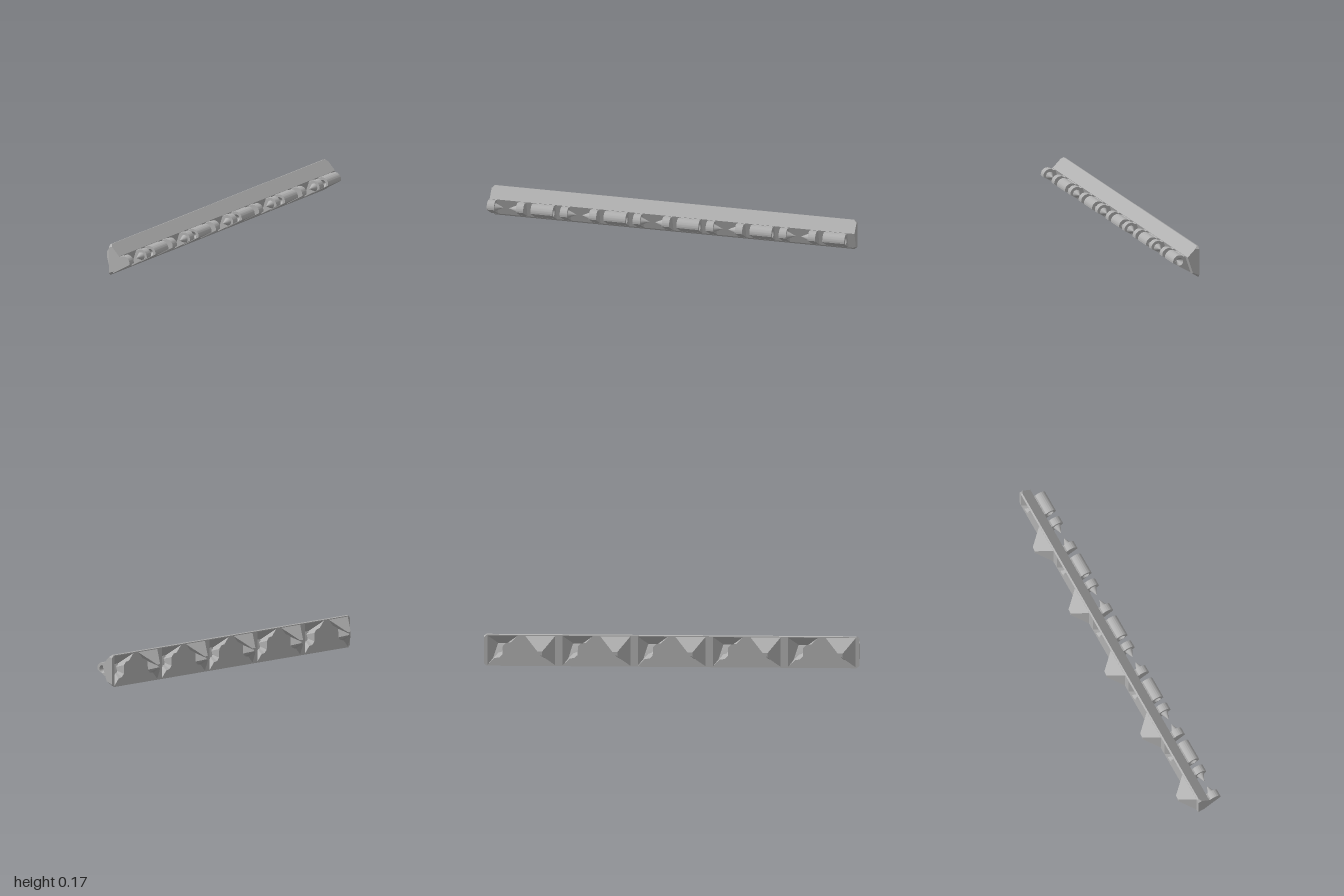
import * as THREE from 'three';
import { toCreasedNormals } from 'three/addons/utils/BufferGeometryUtils.js';

const BACK = -0.03;            // z of the flat back face
const AXIS = { z: 0.068, y: 0.086 }; // hinge axis
const MID_Y = 0.0855;

// Skin between rings of [x, y, z] points; fan caps start at each ring's first point
function loft(rings, closed, capStart, capEnd) {
  const pos = [];
  const tri = (a, b, c) => pos.push(...a, ...b, ...c);
  const n = rings[0].length;
  for (let r = 0; r < rings.length - 1; r++) {
    for (let i = 0; i < (closed ? n : n - 1); i++) {
      const j = (i + 1) % n, p = rings[r], q = rings[r + 1];
      tri(p[i], p[j], q[j]);
      tri(p[i], q[j], q[i]);
    }
  }
  const first = rings[0], last = rings[rings.length - 1];
  for (let i = 1; i < n - 1; i++) {
    if (capStart) tri(first[0], first[i + 1], first[i]);
    if (capEnd) tri(last[0], last[i], last[i + 1]);
  }
  const geo = new THREE.BufferGeometry();
  geo.setAttribute('position', new THREE.Float32BufferAttribute(pos, 3));
  geo.computeVertexNormals();
  return geo;
}

// Outline of the half-pyramid key: a right triangle whose diagonal side is wavy
function keyOutline() {
  const h = 0.08;
  const wave = [[-0.55, 0], [-0.35, 0.016], [-0.15, 0.016], [0, 0], [0.15, -0.016], [0.35, -0.016], [0.55, 0]];
  const pts = [[-h, h], [-h, -h]];
  for (const [t, o] of wave) pts.push([t * h + o * 0.7, t * h - o * 0.7]);
  pts.push([h, h]);
  return pts;
}

function keyGeometry() {
  const ring = (s, z) => keyOutline().map(([x, y]) => [x * s, y * s, z]);
  return loft([ring(1, 0), ring(0.16, -0.075)], true, false, true);
}

// Hinge knuckle cross-section in (z, y)
function knuckleShape(socket) {
  const s = new THREE.Shape();
  s.moveTo(0.028, 0.105);
  s.lineTo(-0.005, 0.0165);
  s.lineTo(0.1036, 0.081);
  s.absarc(AXIS.z, AXIS.y, 0.036, -0.14, 2.3, false);
  s.lineTo(0.037, 0.115);
  s.closePath();
  if (socket) {
    const hole = new THREE.Path();
    hole.absarc(AXIS.z, AXIS.y, 0.021, 0, Math.PI * 2, true);
    s.holes.push(hole);
  }
  return s;
}

export function createModel() {
  const model = new THREE.Group();
  const grey = new THREE.MeshStandardMaterial({ color: 0xb0b0b0, side: THREE.DoubleSide });
  grey.name = 'grey';

  function add(name, geo, x = 0, y = 0, z = 0) {
    const mesh = new THREE.Mesh(geo, grey);
    mesh.name = name;
    mesh.position.set(x, y, z);
    model.add(mesh);
    return mesh;
  }

  // Bar: constant section with chamfered ends, open at the back
  const full = [[BACK, 0], [0.004, 0.021], [0.036, 0.116], [-0.021, 0.173], [BACK, 0.17]];
  const end = [[BACK, 0.014], [0.007, 0.03], [0.036, 0.116], [-0.009, 0.161], [BACK, 0.156]];
  const station = (section, x) => section.map(([z, y]) => [x, y, z]);
  add('bar', loft([station(end, -1), station(full, -0.985), station(full, 0.985), station(end, 1)], false, true, true));

  // Back plate with a hole for each key recess
  const plate = new THREE.Shape([
    [-1, 0.014], [-0.985, 0], [0.985, 0], [1, 0.014],
    [1, 0.156], [0.985, 0.17], [-0.985, 0.17], [-1, 0.156],
  ].map(([x, y]) => new THREE.Vector2(x, y)));
  const key = keyGeometry();
  for (let i = 0; i < 5; i++) {
    const x = -0.9 + i * 0.4;
    add('key', key, x, MID_Y, BACK);
    // The recess is the key turned half round
    add('keyRecess', key, x + 0.2, MID_Y, BACK).rotation.y = Math.PI;
    plate.holes.push(new THREE.Path(
      keyOutline().map(([px, py]) => new THREE.Vector2(x + 0.2 - px, MID_Y + py))));
  }
  const plateGeo = new THREE.ShapeGeometry(plate);
  plateGeo.rotateY(Math.PI);
  plateGeo.scale(-1, 1, 1);
  add('backPlate', plateGeo, 0, 0, BACK);

  // Knuckles run along x, so extrusions are turned to point toward -x
  const knuckleGeo = (width, socket) => {
    const geo = new THREE.ExtrudeGeometry(knuckleShape(socket), { depth: width, bevelEnabled: false, curveSegments: 20 });
    geo.rotateY(-Math.PI / 2);
    return toCreasedNormals(geo, 0.5);
  };
  const narrow = knuckleGeo(0.04, false);
  const wide = knuckleGeo(0.12, true);
  const pin = new THREE.ConeGeometry(0.021, 0.045, 24);
  const socket = new THREE.ConeGeometry(0.021, 0.045, 24, 1, true);

  // Cone lying on the hinge axis, base at x, tip toward dir
  function cone(name, geo, x, dir) {
    add(name, geo, x + dir * 0.0225, AXIS.y, AXIS.z).rotation.z = -dir * Math.PI / 2;
  }

  for (let i = 0; i < 5; i++) {
    const x = -1 + i * 0.4;
    add('pinKnuckle', narrow, x + 0.04);
    cone('hingePin', pin, x + 0.04, 1);
    add('pinKnuckle', narrow, x + 0.2);
    cone('hingePin', pin, x + 0.16, -1);
    add('socketKnuckle', wide, x + 0.36);
    cone('hingeSocket', socket, x + 0.36, -1);
    cone('hingeSocket', socket, x + 0.24, 1);
  }
  return model;
}
